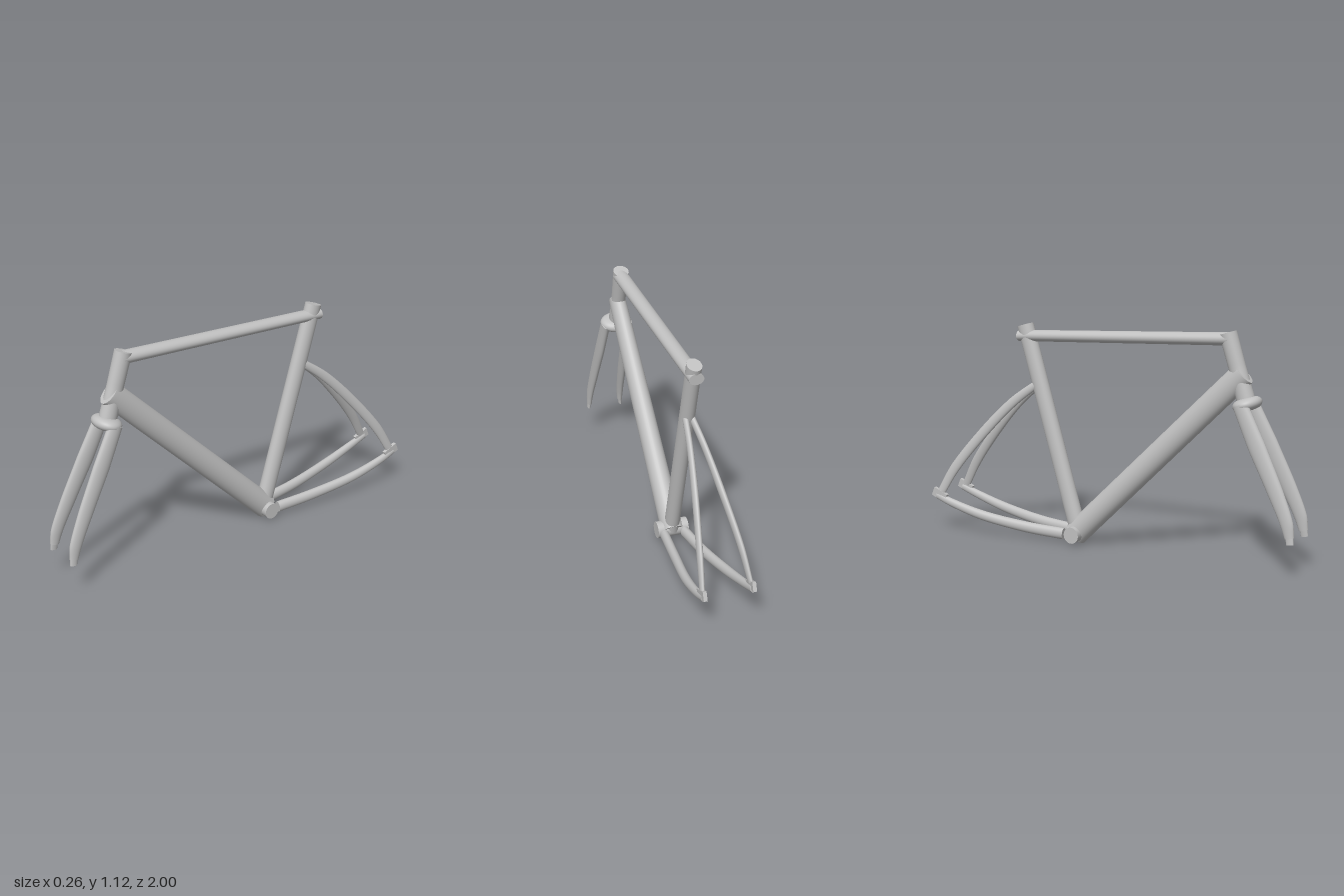
import * as THREE from 'three';

const paint = new THREE.MeshStandardMaterial({ color: 0xc0c0c0 });
paint.name = 'frame grey';

// Elliptical tube through points [x, y, z, rx, ry]; rx is the sideways radius, ry the one across it.
function sweep(name, stations, side = 1, steps = 24, sides = 32) {
  const path = new THREE.CatmullRomCurve3(stations.map(([x, y, z]) => new THREE.Vector3(x * side, y, z)));
  const pos = [], index = [], last = stations.length - 1;
  const ring = (t) => {
    const c = path.getPoint(t), dir = path.getTangent(t);
    const u = new THREE.Vector3(1, 0, 0).addScaledVector(dir, -dir.x).normalize();
    const v = dir.clone().cross(u);
    const k = Math.min(Math.floor(t * last), last - 1), f = t * last - k;
    const [rx, ry] = [3, 4].map((n) => THREE.MathUtils.lerp(stations[k][n], stations[k + 1][n], f));
    const start = pos.length / 3;
    for (let j = 0; j < sides; j++) {
      const a = (j / sides) * Math.PI * 2;
      const p = c.clone().addScaledVector(u, rx * Math.cos(a)).addScaledVector(v, ry * Math.sin(a));
      pos.push(p.x, p.y, p.z);
    }
    return { start, c };
  };
  for (let i = 0; i <= steps; i++) ring(i / steps);
  for (let i = 0; i < steps; i++) {
    for (let j = 0; j < sides; j++) {
      const a = i * sides + j, b = i * sides + ((j + 1) % sides);
      index.push(a, b, a + sides, b, b + sides, a + sides);
    }
  }
  // Flat end caps with their own vertices
  for (const t of [0, 1]) {
    const { start, c } = ring(t);
    const centre = pos.length / 3;
    pos.push(c.x, c.y, c.z);
    for (let j = 0; j < sides; j++) {
      const a = start + j, b = start + ((j + 1) % sides);
      if (t) index.push(centre, a, b);
      else index.push(centre, b, a);
    }
  }
  const geo = new THREE.BufferGeometry();
  geo.setAttribute('position', new THREE.Float32BufferAttribute(pos, 3));
  geo.setIndex(index);
  geo.computeVertexNormals();
  const mesh = new THREE.Mesh(geo, paint);
  mesh.name = name;
  return mesh;
}

export function createModel() {
  const model = new THREE.Group();
  model.name = 'bicycleFrame';

  // Main triangle
  model.add(
    sweep('headTube', [[0, 1.108, 0.617, 0.039, 0.043], [0, 0.95, 0.666, 0.036, 0.042], [0, 0.79, 0.716, 0.04, 0.045]]),
    sweep('topTube', [[0, 1.079, 0.63, 0.039, 0.031], [0, 1.03, -0.522, 0.036, 0.028]]),
    sweep('downTube', [[0, 0.925, 0.7, 0.04, 0.059], [0, 0.05, -0.2, 0.055, 0.062]]),
    sweep('seatTube', [[0, 1.087, -0.488, 0.035, 0.044], [0, 0.06, -0.187, 0.036, 0.044]])
  );

  // Bottom bracket shell
  const shell = new THREE.Mesh(new THREE.CylinderGeometry(0.041, 0.041, 0.156, 32), paint);
  shell.name = 'bottomBracket';
  shell.rotation.z = Math.PI / 2;
  shell.position.set(0, 0.056, -0.186);
  model.add(shell);

  // Fork crown: rounded disc tilted with the head tube
  const profile = [];
  for (let i = 0; i <= 20; i++) {
    const a = (i / 20 - 0.5) * Math.PI;
    profile.push(new THREE.Vector2(Math.pow(Math.max(Math.cos(a), 0), 0.6), Math.sin(a)));
  }
  const crown = new THREE.Mesh(new THREE.LatheGeometry(profile, 40), paint);
  crown.name = 'forkCrown';
  crown.scale.set(0.083, 0.031, 0.068);
  crown.rotation.x = -0.3;
  crown.position.set(0, 0.782, 0.72);
  model.add(crown);

  for (const side of [1, -1]) {
    const label = side > 0 ? 'left' : 'right';

    // Fork blade curving forward, with its tip
    model.add(
      sweep(label + 'ForkBlade', [
        [0.06, 0.785, 0.71, 0.022, 0.038], [0.069, 0.6, 0.8, 0.021, 0.044], [0.079, 0.4, 0.9, 0.019, 0.039],
        [0.086, 0.26, 0.962, 0.016, 0.032], [0.088, 0.195, 0.977, 0.013, 0.023],
      ], side),
      sweep(label + 'ForkTip', [[0.088, 0.21, 0.976, 0.009, 0.02], [0.091, 0.165, 0.982, 0.008, 0.018]], side, 4)
    );

    // Rear stays
    model.add(
      sweep(label + 'ChainStay', [
        [0.052, 0.053, -0.243, 0.022, 0.029], [0.073, 0.067, -0.45, 0.022, 0.028],
        [0.103, 0.105, -0.7, 0.021, 0.025], [0.115, 0.153, -0.88, 0.017, 0.021], [0.116, 0.183, -0.97, 0.012, 0.018],
      ], side),
      sweep(label + 'SeatStay', [
        [0.015, 0.79, -0.42, 0.014, 0.02], [0.034, 0.7, -0.54, 0.014, 0.024], [0.06, 0.56, -0.68, 0.015, 0.026],
        [0.098, 0.34, -0.862, 0.014, 0.026], [0.115, 0.2, -0.945, 0.011, 0.022],
      ], side)
    );

    // Wheel dropout
    const dropout = new THREE.Mesh(new THREE.BoxGeometry(0.018, 0.045, 0.085), paint);
    dropout.name = label + 'Dropout';
    dropout.position.set(0.117 * side, 0.188, -0.95);
    dropout.rotation.x = 0.4;
    model.add(dropout);
  }
  return model;
}
